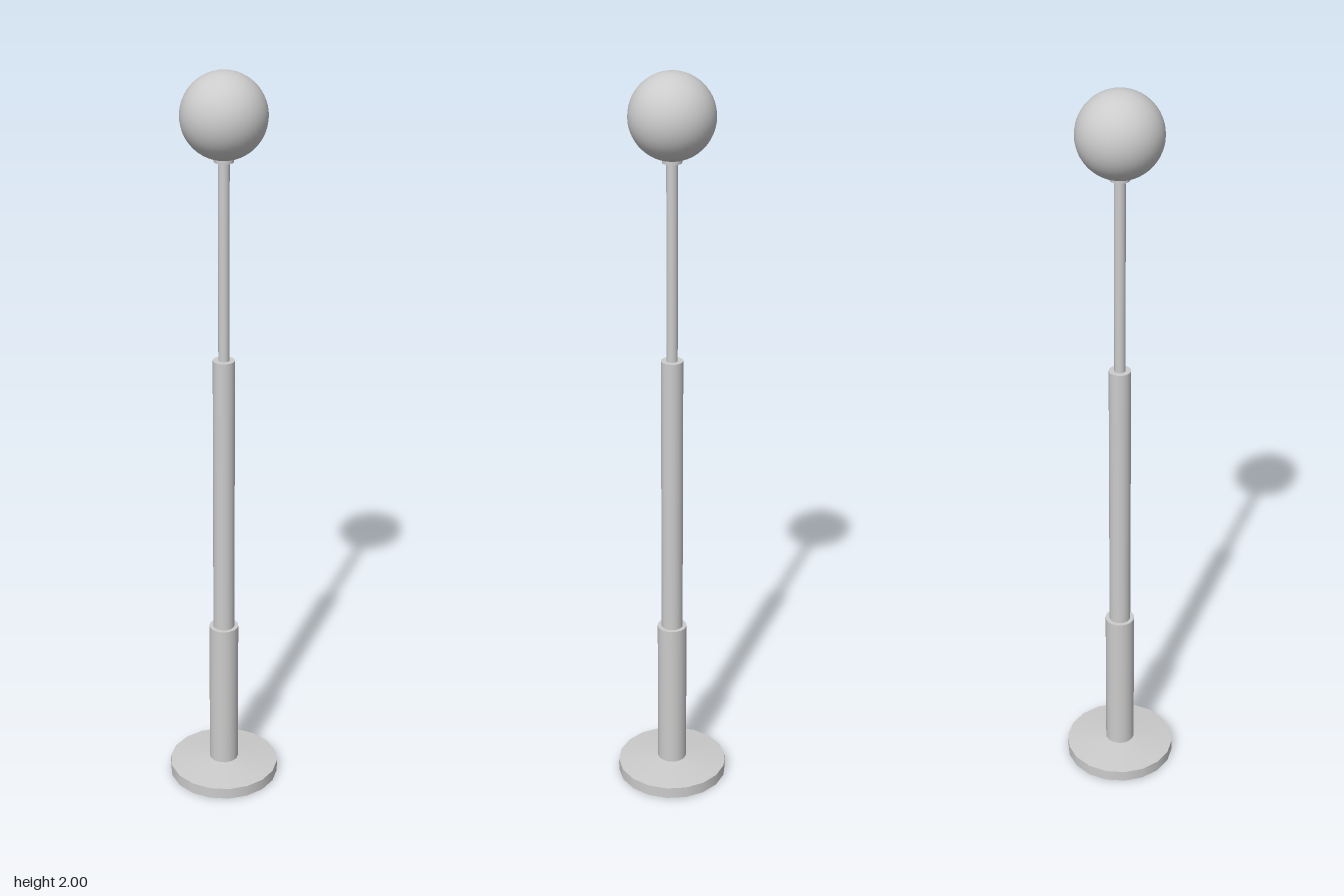
import * as THREE from 'three';

const SIDES = 18;

export function createModel() {
  const model = new THREE.Group();
  const material = new THREE.MeshStandardMaterial({ color: 0xcccccc });

  function add(name, geometry, y) {
    const mesh = new THREE.Mesh(geometry, material);
    mesh.name = name;
    mesh.position.y = y;
    model.add(mesh);
  }

  // Round section standing between two heights
  function section(name, bottomRadius, topRadius, y0, y1) {
    add(name, new THREE.CylinderGeometry(topRadius, bottomRadius, y1 - y0, SIDES), (y0 + y1) / 2);
  }

  // Foot: disc with a shallow sloping top
  section('baseDisc', 0.152, 0.152, 0, 0.032);
  section('baseSlope', 0.152, 0.04, 0.032, 0.044);

  // Stepped pole, narrowing upward
  section('lowerPole', 0.04, 0.04, 0.04, 0.47);
  section('middlePole', 0.029, 0.029, 0.46, 1.255);
  section('upperPole', 0.0145, 0.0145, 1.25, 1.785);

  // Collar and globe
  section('globeCollar', 0.025, 0.025, 1.776, 1.79);
  add('globe', new THREE.SphereGeometry(0.109, 40, 28), 1.891);

  return model;
}
